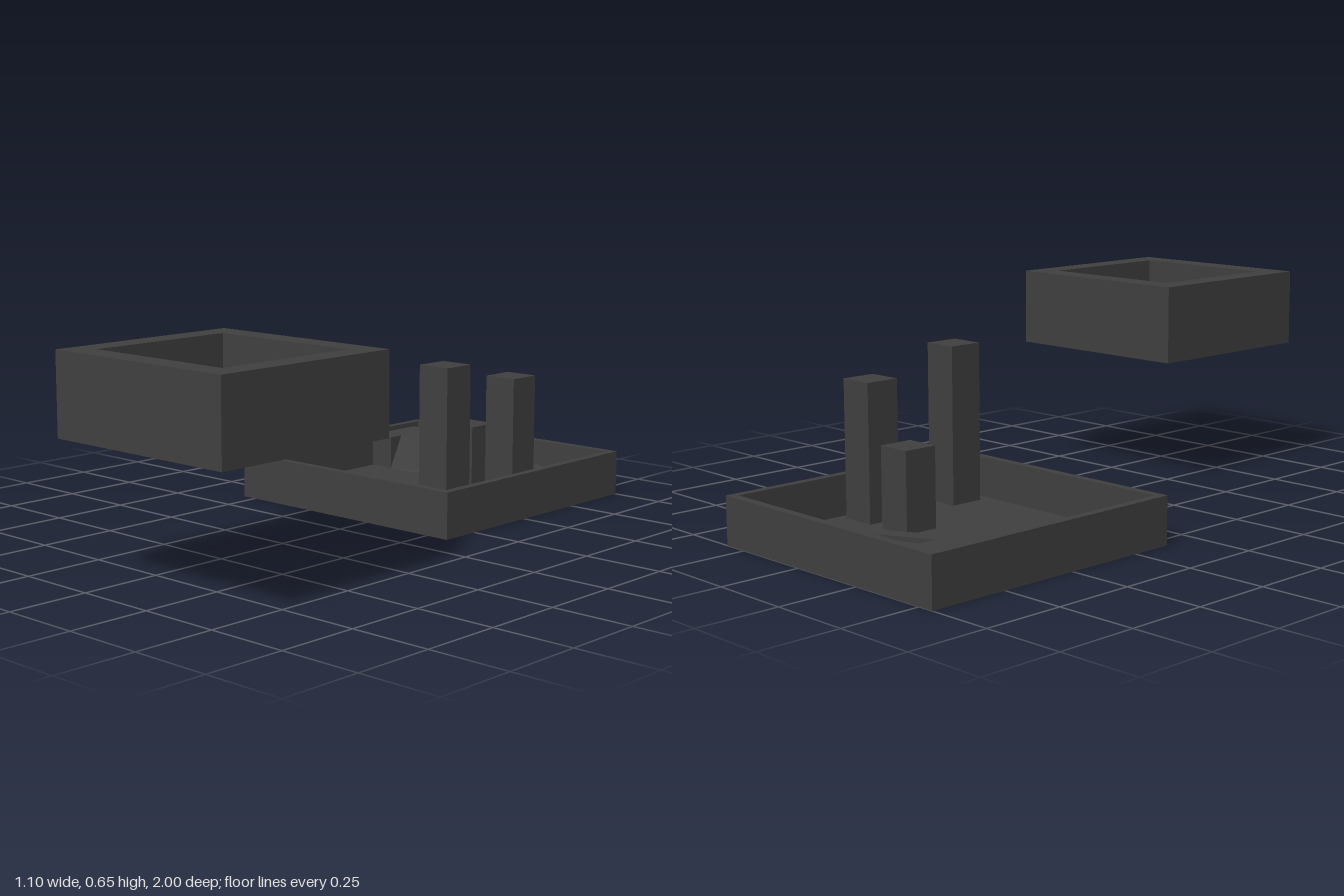
import * as THREE from 'three';

const material = new THREE.MeshStandardMaterial({ color: 0x404040, flatShading: true });

function add(parent, name, geometry) {
  const mesh = new THREE.Mesh(geometry, material);
  mesh.name = name;
  parent.add(mesh);
  return mesh;
}

// Box given by its limits on each axis
function block(parent, name, x0, x1, y0, y1, z0, z1) {
  const mesh = add(parent, name, new THREE.BoxGeometry(x1 - x0, y1 - y0, z1 - z0));
  mesh.position.set((x0 + x1) / 2, (y0 + y1) / 2, (z0 + z1) / 2);
}

// Rectangular wall around an opening
function ring(parent, name, x0, x1, y0, y1, z0, z1, t) {
  const rect = (P, m) => new P([
    new THREE.Vector2(x0 + m, z0 + m), new THREE.Vector2(x1 - m, z0 + m),
    new THREE.Vector2(x1 - m, z1 - m), new THREE.Vector2(x0 + m, z1 - m)]);
  const shape = rect(THREE.Shape, 0);
  shape.holes.push(rect(THREE.Path, t));
  const g = new THREE.ExtrudeGeometry(shape, { depth: y1 - y0, bevelEnabled: false });
  add(parent, name, g.rotateX(Math.PI / 2).translate(0, y1, 0));
}

const FLOOR = 0.02;
// Height of the gently falling ramp top
const rampHeight = (x) => 0.13 - (x + 0.44) * 0.13;

// Box whose top follows the ramp; the foot may spread to the right and front
function rampPiece(parent, name, x0, x1, z0, z1, spreadX = 0, spreadZ = 0) {
  const g = new THREE.BoxGeometry(1, 1, 1).toNonIndexed();
  const p = g.attributes.position;
  for (let i = 0; i < p.count; i++) {
    const right = p.getX(i) > 0, top = p.getY(i) > 0, front = p.getZ(i) > 0;
    const x = right ? x1 : x0, z = front ? z1 : z0;
    p.setXYZ(i,
      x + (right && !top ? spreadX : 0),
      top ? rampHeight(x) : FLOOR,
      z + (front && !top ? spreadZ : 0));
  }
  g.computeVertexNormals();
  add(parent, name, g);
}

export function createModel() {
  const model = new THREE.Group();

  // Open tray
  const tray = new THREE.Group();
  tray.name = 'tray';
  model.add(tray);
  block(tray, 'trayFloor', -0.55, 0.33, 0, FLOOR, -1, -0.12);
  ring(tray, 'trayWall', -0.55, 0.33, FLOOR, 0.146, -1, -0.12, 0.025);

  // Three square posts: centre x, centre z, top
  for (const [x, z, top] of [[0.22, -0.235, 0.51], [0.22, -0.56, 0.44], [0.055, -0.56, 0.265]]) {
    block(model, 'post', x - 0.055, x + 0.055, FLOOR, top, z - 0.055, z + 0.055);
  }

  // Ramp in the back corner, built around a long slot
  const ramp = new THREE.Group();
  ramp.name = 'ramp';
  model.add(ramp);
  block(ramp, 'rampLanding', -0.525, -0.44, FLOOR, 0.13, -0.95, -0.73);
  rampPiece(ramp, 'rampBack', -0.44, 0.11, -0.95, -0.895, 0.055);
  rampPiece(ramp, 'rampFront', -0.44, 0.11, -0.84, -0.785, 0.055, 0.055);
  rampPiece(ramp, 'rampLeftEnd', -0.44, -0.386, -0.895, -0.84);
  rampPiece(ramp, 'rampRightEnd', 0.1, 0.11, -0.895, -0.84, 0.055);

  // Flat panels at the bottom of the slot
  for (const [x0, x1] of [[-0.386, -0.238], [-0.228, -0.064], [-0.062, 0.1]]) {
    block(ramp, 'slotPanel', x0, x1, FLOOR, 0.058, -0.895, -0.84);
  }

  // Raised frame with slats
  const frame = new THREE.Group();
  frame.name = 'raisedFrame';
  model.add(frame);
  ring(frame, 'frameWall', -0.1, 0.545, 0.41, 0.652, 0.385, 1, 0.078);
  for (const [x0, x1, z0] of [[-0.018, 0.09, 0.464], [0.096, 0.314, 0.464], [0.318, 0.466, 0.473]]) {
    block(frame, 'slat', x0, x1, 0.44, 0.54, z0, 0.918);
  }

  return model;
}
